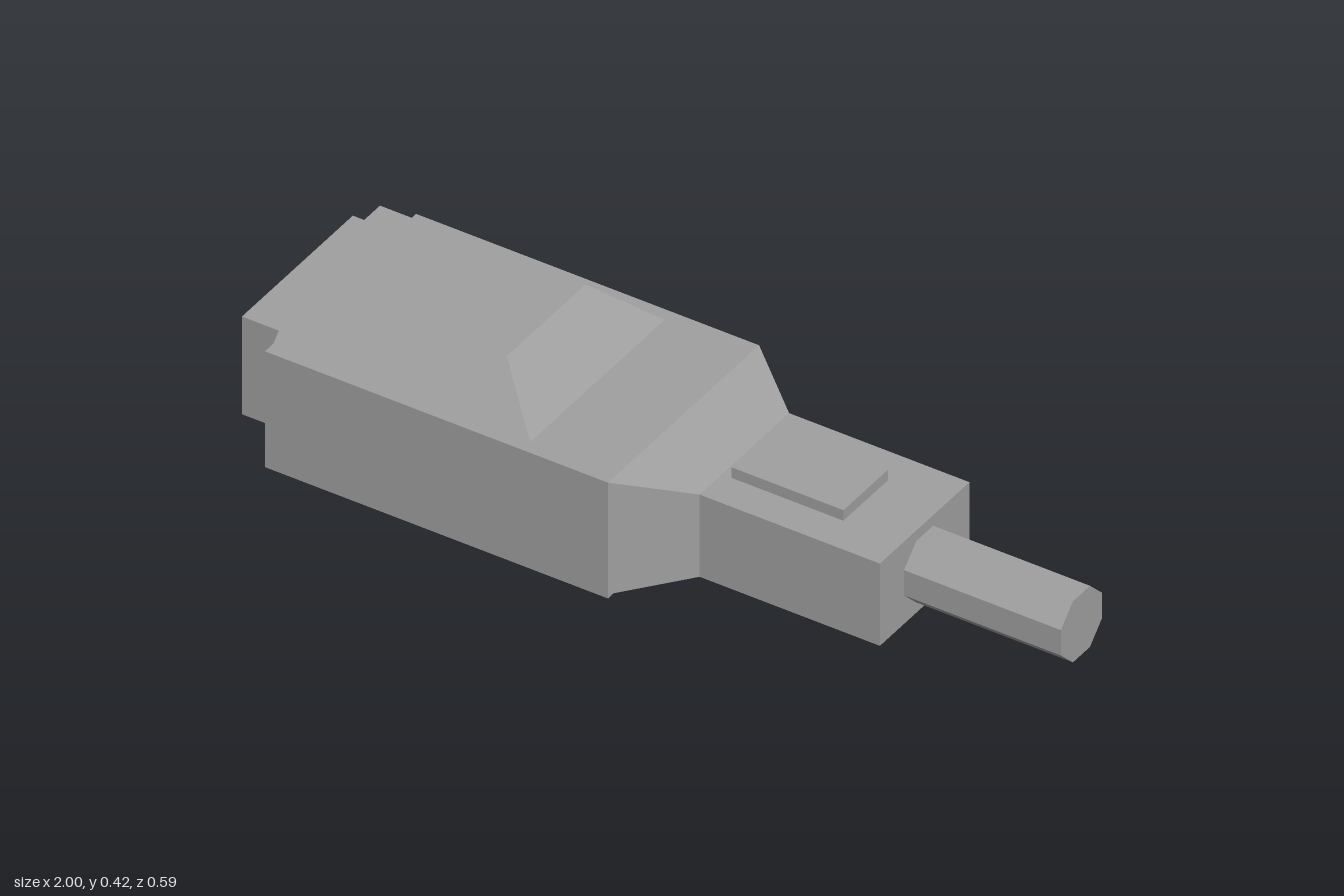
import * as THREE from 'three';

const grey = new THREE.MeshStandardMaterial({ color: 0xa0a0a0 });
grey.name = 'grey';

// Box given by its limits; z is symmetric
function block(name, x0, x1, y0, y1, halfZ) {
  const geometry = new THREE.BoxGeometry(x1 - x0, y1 - y0, halfZ * 2);
  geometry.translate((x0 + x1) / 2, (y0 + y1) / 2, 0);
  const mesh = new THREE.Mesh(geometry, grey);
  mesh.name = name;
  return mesh;
}

// Moves each corner of a block by a rule, keeping flat faces
function reshape(mesh, rule) {
  const p = mesh.geometry.attributes.position;
  const v = new THREE.Vector3();
  for (let i = 0; i < p.count; i++) {
    rule(v.fromBufferAttribute(p, i));
    p.setXYZ(i, v.x, v.y, v.z);
  }
  mesh.geometry.computeVertexNormals();
  return mesh;
}

export function createModel() {
  const model = new THREE.Group();
  model.name = 'device';

  // Main housing and the block behind it
  model.add(block('mainBody', -0.89, -0.015, 0, 0.307, 0.297));
  model.add(block('rearBlock', -1, -0.89, 0.048, 0.307, 0.218));

  // Raised cover: bevelled sides, sloped front, upright back
  model.add(reshape(block('topCover', -0.89, -0.235, 0.307, 0.416, 0.264), (v) => {
    if (v.y < 0.36) return;
    v.z = Math.sign(v.z) * 0.155;
    if (v.x > -0.5) v.x = -0.365;
  }));

  // Taper from the housing down to the neck
  model.add(reshape(block('taper', -0.015, 0.14, 0.011, 0.307, 0.297), (v) => {
    if (v.x < 0.06) return;
    v.y = v.y > 0.15 ? 0.263 : 0.045;
    v.z = Math.sign(v.z) * 0.176;
  }));

  // Neck with a small raised plate
  model.add(block('neck', 0.14, 0.6, 0.045, 0.263, 0.176));
  model.add(block('neckPlate', 0.165, 0.45, 0.263, 0.291, 0.088));

  // Octagonal tube with flat sides facing up and down
  const radius = 0.081 / Math.cos(Math.PI / 8);
  const tube = new THREE.CylinderGeometry(radius, radius, 0.4, 8, 1, false, Math.PI / 8).toNonIndexed();
  tube.rotateZ(-Math.PI / 2);
  tube.translate(0.8, 0.154, 0);
  tube.computeVertexNormals();
  const barrel = new THREE.Mesh(tube, grey);
  barrel.name = 'barrel';
  model.add(barrel);

  return model;
}
